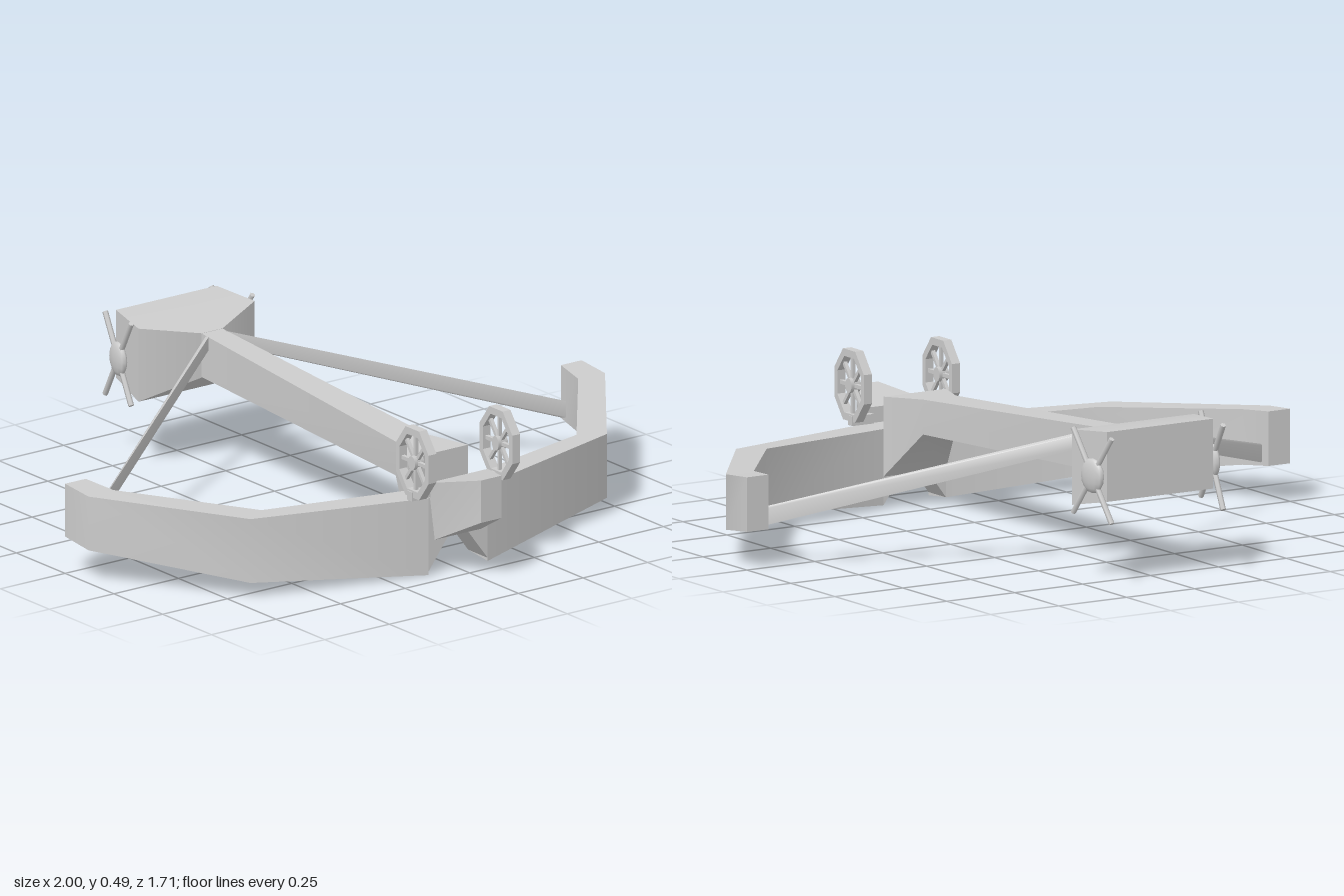
import * as THREE from 'three';
import { toCreasedNormals } from 'three/addons/utils/BufferGeometryUtils.js';

const material = new THREE.MeshStandardMaterial({ color: 0xcccccc, side: THREE.DoubleSide });

function addMesh(parent, name, geometry) {
  const mesh = new THREE.Mesh(geometry, material);
  mesh.name = name;
  parent.add(mesh);
  return mesh;
}

// Skin a list of four-cornered cross-sections and close both ends.
function loft(rings) {
  const points = rings.flat();
  const tris = [];
  const quad = (a, b, c, d) => tris.push([a, b, c], [a, c, d]);
  for (let r = 0; r < rings.length - 1; r++) {
    for (let i = 0; i < 4; i++) {
      const a = r * 4 + i, b = r * 4 + (i + 1) % 4;
      quad(a, b, b + 4, a + 4);
    }
  }
  const e = (rings.length - 1) * 4;
  quad(3, 2, 1, 0);
  quad(e, e + 1, e + 2, e + 3);
  // Turn the faces outward whichever way the sections run.
  const v = points.map((p) => new THREE.Vector3(...p));
  const volume = tris.reduce((s, [a, b, c]) => s + v[a].dot(v[b].clone().cross(v[c])), 0);
  if (volume < 0) tris.forEach((t) => t.reverse());
  const geometry = new THREE.BufferGeometry();
  geometry.setAttribute('position', new THREE.Float32BufferAttribute(points.flat(), 3));
  geometry.setIndex(tris.flat());
  return toCreasedNormals(geometry, 0.85);
}

// Section across the body: z, half width at top, bottom, top, half width at bottom.
const across = (z, w, y0, y1, wb = w) => [[-wb, y0, z], [wb, y0, z], [w, y1, z], [-w, y1, z]];

// Upright section between an outer and an inner plan point.
const upright = ([xo, zo], [xi, zi], y0, y1, yi0 = y0) =>
  [[xo, y0, zo], [xo, y1, zo], [xi, y1, zi], [xi, yi0, zi]];

// Octagonal spoked wheel, standing in the yz plane and taller than it is long.
function makeWheel() {
  const wheel = new THREE.Group();
  wheel.name = 'spokedWheel';
  const octagon = (shape, r) => {
    for (let i = 0; i < 8; i++) {
      const a = (i + 0.5) * Math.PI / 4;
      shape[i ? 'lineTo' : 'moveTo'](Math.cos(a) * r, Math.sin(a) * r);
    }
    shape.closePath();
    return shape;
  };
  const rim = octagon(new THREE.Shape(), 0.121);
  rim.holes.push(octagon(new THREE.Path(), 0.096));
  const rimGeometry = new THREE.ExtrudeGeometry(rim, { depth: 0.03, bevelEnabled: false });
  rimGeometry.translate(0, 0, -0.015);
  addMesh(wheel, 'rim', rimGeometry);
  for (let i = 0; i < 8; i++) {
    const spoke = new THREE.BoxGeometry(0.012, 0.1, 0.012);
    spoke.translate(0, 0.055, 0);
    addMesh(wheel, 'spoke', spoke).rotation.z = i * Math.PI / 4;
  }
  addMesh(wheel, 'hub', new THREE.CylinderGeometry(0.024, 0.024, 0.036, 10)).rotation.x = Math.PI / 2;
  wheel.scale.set(0.75, 1, 1);
  wheel.rotation.y = Math.PI / 2;
  return wheel;
}

// Domed hub with two crossing handle bars.
function makeWindlass() {
  const windlass = new THREE.Group();
  windlass.name = 'windlass';
  const dome = addMesh(windlass, 'windlassHub', new THREE.SphereGeometry(0.05, 12, 8));
  dome.scale.set(0.36, 1.1, 1);
  [0.56, -0.6].forEach((angle, i) => {
    const bar = addMesh(windlass, 'handleBar', new THREE.CylinderGeometry(0.009, 0.009, 0.33 - i * 0.02, 6));
    bar.rotation.x = angle;
  });
  return windlass;
}

export function createModel() {
  const model = new THREE.Group();
  model.name = 'siegeBow';

  // Long stock, flaring where it meets the bow
  addMesh(model, 'stock', loft([
    across(0.59, 0.115, 0.1, 0.352),
    across(0.45, 0.06, 0.25, 0.36),
    across(-0.58, 0.04, 0.295, 0.437),
  ]));

  // Tapered nose ahead of the slot
  addMesh(model, 'nose', loft([
    across(0.86, 0.04, 0.2, 0.338),
    across(0.69, 0.115, 0.11, 0.30, 0.09),
  ]));

  // Low bridge joining the two limbs through the slot
  addMesh(model, 'bridge', loft([[-0.115, 0.01], [-0.04, 0.11], [0.04, 0.11], [0.115, 0.01]]
    .map(([x, y]) => upright([x, 0.69], [x, 0.59], y, 0.25))));

  // Wedge-shaped tail block
  addMesh(model, 'tailBlock', loft([
    across(-0.57, 0.04, 0.293, 0.437),
    across(-0.65, 0.225, 0.23, 0.468),
    across(-0.805, 0.195, 0.262, 0.482),
  ]));

  for (const s of [1, -1]) {
    const mirror = (rings) => rings.map((ring) => ring.map(([x, y, z]) => [x * s, y, z]));

    // Bent bow limb
    addMesh(model, 'limb', loft(mirror([
      upright([0.115, 0.69], [0.115, 0.59], 0, 0.25, 0.01),
      upright([0.69, 0.54], [0.61, 0.49], 0.05, 0.258),
      upright([1, 0.12], [0.9, 0.115], 0.107, 0.282),
      upright([1, 0], [0.92, 0], 0.12, 0.292),
    ])));

    // Taut string from limb tip to stock
    addMesh(model, 'string', loft(mirror([
      upright([0.925, 0.04], [0.905, 0.02], 0.13, 0.182),
      upright([0.045, -0.53], [0.032, -0.555], 0.392, 0.435),
    ])));

    // Wheel beside the nose and its bracket
    const wheel = makeWheel();
    wheel.position.set(0.162 * s, 0.377, 0.69);
    model.add(wheel);
    addMesh(model, 'wheelBracket', new THREE.BoxGeometry(0.08, 0.03, 0.025))
      .position.set(0.14 * s, 0.268, 0.68);

    // Windlass on the slanted side of the tail
    const windlass = makeWindlass();
    windlass.position.set(0.22 * s, 0.34, -0.76);
    windlass.rotation.y = 0.17 * s;
    model.add(windlass);
  }
  return model;
}
